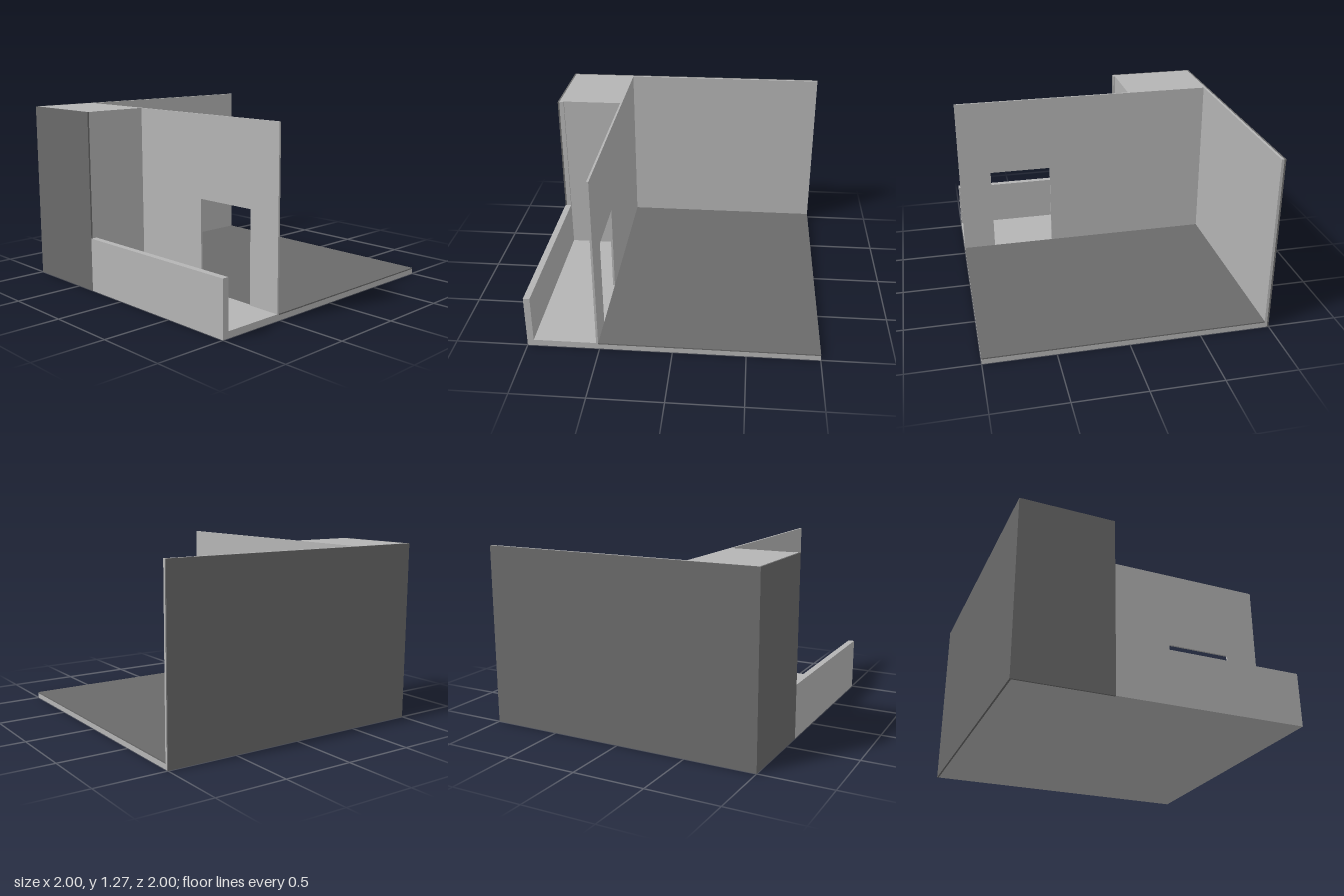
import * as THREE from 'three';

const H = 1.27;        // wall height
const FLOOR = 0.045;   // floor level
const SKIN = 0.012;    // dark cladding thickness
const WALL_BACK = 0.508, WALL_FRONT = 0.522;

export function createModel() {
  const group = new THREE.Group();
  const light = new THREE.MeshStandardMaterial({ color: 0xb4b4b4 });
  light.name = 'light plaster';
  const dark = new THREE.MeshStandardMaterial({ color: 0x6a6a6a });
  dark.name = 'dark cladding';

  // Box given by its extents on each axis
  const box = (name, mat, [x0, x1], [y0, y1], [z0, z1]) => {
    const mesh = new THREE.Mesh(new THREE.BoxGeometry(x1 - x0, y1 - y0, z1 - z0), mat);
    mesh.position.set((x0 + x1) / 2, (y0 + y1) / 2, (z0 + z1) / 2);
    mesh.name = name;
    group.add(mesh);
  };

  // Floors: light slab, dark finish in the room, light balcony floor
  const slabTop = FLOOR - 0.009;
  box('floorSlab', light, [-1 + SKIN, 1], [0, slabTop], [-1, 0.955]);
  box('roomFloor', dark, [-0.97, 1], [slabTop, FLOOR], [-1, WALL_BACK]);
  box('balconyFloor', light, [-0.35, 1], [slabTop, FLOOR], [WALL_BACK, 0.955]);

  // Side wall, solid corner block and the pier at its front edge
  box('sideWall', light, [-1 + SKIN, -0.97], [slabTop, H], [-1, WALL_BACK]);
  box('cornerBlock', light, [-1 + SKIN, -0.35], [slabTop, H], [WALL_BACK, 0.955]);
  box('cornerPier', light, [-1 + SKIN, -0.336], [0, H], [0.955, 1 - SKIN]);

  // Dark cladding on the outside
  box('sideCladding', dark, [-1, -1 + SKIN], [0, H], [-1, 1]);
  box('frontCladding', dark, [-1 + SKIN, -0.336], [0, H], [1 - SKIN, 1]);

  // Low balcony parapet
  box('parapet', light, [-0.336, 1], [0, 0.382], [0.955, 1]);

  // Facade wall with its doorway
  const outline = new THREE.Shape([
    [-0.35, FLOOR], [0.286, FLOOR], [0.286, 0.69], [0.757, 0.69],
    [0.757, FLOOR], [1, FLOOR], [1, H], [-0.35, H],
  ].map(([x, y]) => new THREE.Vector2(x, y)));
  const facade = new THREE.Mesh(
    new THREE.ExtrudeGeometry(outline, { depth: WALL_FRONT - WALL_BACK, bevelEnabled: false }), light);
  facade.position.z = WALL_BACK;
  facade.name = 'facadeWall';
  group.add(facade);

  return group;
}
